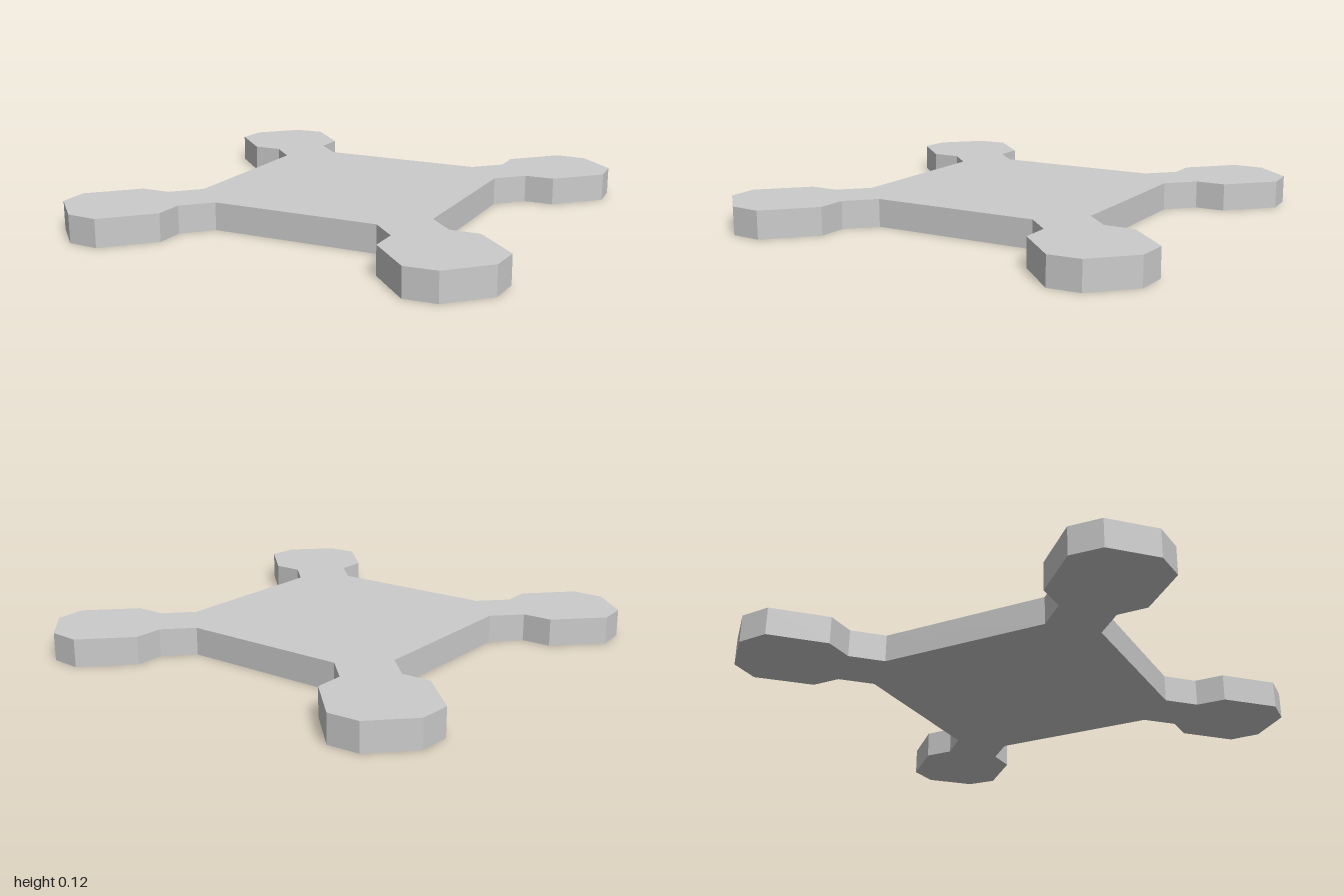
import * as THREE from 'three';

const HEIGHT = 0.125;

// One corner of the outline, counter-clockwise: arm, octagonal pad, arm
const CORNER = [
  [0.56, 0.385], [0.675, 0.5], [0.81, 0.5], [1, 0.688], [0.992, 0.83],
  [0.83, 0.992], [0.688, 1], [0.5, 0.81], [0.5, 0.675], [0.385, 0.56],
];

export function createModel() {
  const group = new THREE.Group();
  group.name = 'fourArmedPlate';

  // Repeat the corner at quarter turns to close the outline
  const outline = [];
  for (let i = 0; i < 4; i++) {
    for (const [x, y] of CORNER) {
      const p = new THREE.Vector2(x, y);
      for (let k = 0; k < i; k++) p.set(-p.y, p.x);
      outline.push(p);
    }
  }

  // Flat plate with a square body and four padded arms
  const geometry = new THREE.ExtrudeGeometry(new THREE.Shape(outline), {
    depth: HEIGHT, bevelEnabled: false,
  });
  geometry.rotateX(-Math.PI / 2);
  const plate = new THREE.Mesh(
    geometry,
    new THREE.MeshStandardMaterial({ color: 0xcccccc, flatShading: true }),
  );
  plate.name = 'plateWithArms';
  group.add(plate);
  return group;
}
